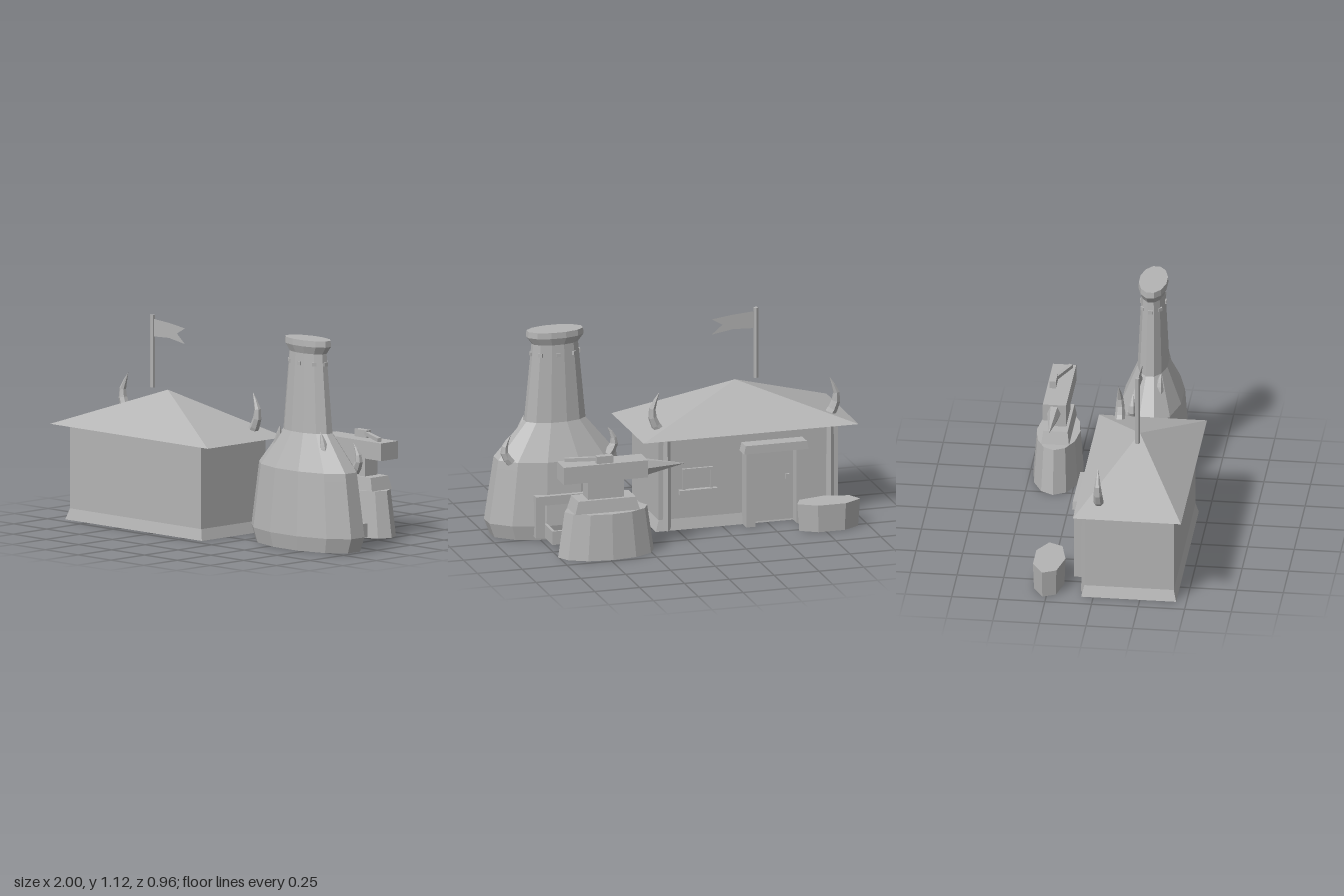
import * as THREE from 'three';

const stone = new THREE.MeshStandardMaterial({ color: 0xb4b4b4, flatShading: true, side: THREE.DoubleSide });
stone.name = 'plain grey';

function add(parent, name, geometry, x = 0, y = 0, z = 0) {
  const mesh = new THREE.Mesh(geometry, stone);
  mesh.name = name;
  mesh.position.set(x, y, z);
  parent.add(mesh);
  return mesh;
}

// box given by its limits
function block(parent, name, x0, x1, y0, y1, z0, z1) {
  return add(parent, name, new THREE.BoxGeometry(x1 - x0, y1 - y0, z1 - z0),
    (x0 + x1) / 2, (y0 + y1) / 2, (z0 + z1) / 2);
}

// block standing on y = 0 whose top has a different width and depth
function taper(geo, w0, d0, w1, d1, h) {
  const p = geo.attributes.position;
  for (let i = 0; i < p.count; i++) {
    const top = p.getY(i) > 0;
    p.setXYZ(i, p.getX(i) * (top ? w1 : w0), top ? h : 0, p.getZ(i) * (top ? d1 : d0));
  }
  return geo;
}
const taperBox = (...s) => taper(new THREE.BoxGeometry(1, 1, 1), ...s);

// curved spike: a tube whose rings shrink towards the tip
function horn(parent, name, points, radius) {
  const curve = new THREE.CatmullRomCurve3(points.map(p => new THREE.Vector3(...p)));
  const rings = 5, sides = 6;
  const geo = new THREE.TubeGeometry(curve, rings, radius, sides);
  const p = geo.attributes.position, v = new THREE.Vector3();
  for (let i = 0; i < p.count; i++) {
    const t = Math.floor(i / (sides + 1)) / rings;
    const c = curve.getPointAt(t);
    v.fromBufferAttribute(p, i).sub(c).multiplyScalar(1 - t * t * 0.98).add(c);
    p.setXYZ(i, v.x, v.y, v.z);
  }
  return add(parent, name, geo);
}

function buildHouse() {
  const g = new THREE.Group();
  g.name = 'house';
  block(g, 'walls', -0.9, 0.1, 0.06, 0.51, -0.05, 0.43);
  add(g, 'baseSkirt', taper(new THREE.CylinderGeometry(Math.SQRT1_2, Math.SQRT1_2, 1, 4, 1, true, Math.PI / 4),
    1.04, 0.51, 1, 0.48, 0.06), -0.4, 0, 0.19);
  const roof = new THREE.ConeGeometry(Math.SQRT1_2, 1, 4, 1, false, Math.PI / 4);
  roof.scale(1.2, 0.22, 0.58);
  add(g, 'roof', roof, -0.4, 0.62, 0.19);

  // roof horns, mirrored about the ridge centre
  for (const s of [-1, 1]) {
    horn(g, 'roofHorn', [
      [-0.4 + s * 0.465, 0.53, 0.025], [-0.4 + s * 0.5, 0.58, 0.025],
      [-0.4 + s * 0.515, 0.65, 0.023], [-0.4 + s * 0.475, 0.75, 0.02]], 0.028);
    const post = new THREE.CylinderGeometry(0.022, 0.026, 0.51, 6);
    add(g, 'cornerPost', post, -0.4 + s * 0.455, 0.255, -0.046);
  }

  // door with frame
  for (const x of [-0.695, -0.415]) block(g, 'doorJamb', x, x + 0.05, 0, 0.41, -0.13, -0.05);
  add(g, 'doorLintel', taperBox(0.36, 0.085, 0.34, 0.08, 0.045), -0.53, 0.41, -0.095);
  block(g, 'door', -0.65, -0.41, 0.01, 0.41, -0.068, -0.05);
  block(g, 'doorKnob', -0.62, -0.6, 0.235, 0.262, -0.08, -0.066);

  // window and sill
  block(g, 'windowPane', -0.185, -0.045, 0.235, 0.32, -0.056, -0.05);
  block(g, 'windowTop', -0.2, -0.03, 0.32, 0.335, -0.064, -0.05);
  for (const x of [-0.2, -0.045]) block(g, 'windowSide', x, x + 0.015, 0.22, 0.32, -0.064, -0.05);
  block(g, 'windowSill', -0.22, -0.01, 0.195, 0.22, -0.078, -0.05);

  // flag
  add(g, 'flagPole', new THREE.CylinderGeometry(0.013, 0.013, 0.39, 6), -0.517, 0.925, 0.19);
  const flag = new THREE.Shape([[-0.51, 1.1], [-0.51, 1.005], [-0.39, 1.01], [-0.27, 0.99],
    [-0.33, 1.04], [-0.27, 1.075], [-0.38, 1.09]].map(p => new THREE.Vector2(...p)));
  add(g, 'flag', new THREE.ShapeGeometry(flag), 0, 0, 0.19);
  return g;
}

function buildFurnace() {
  const g = new THREE.Group();
  g.name = 'furnace';
  const cx = 0.62, cz = 0.143;
  // oval chimney body
  const profile = [[0, 0], [0.35, 0], [0.38, 0.08], [0.335, 0.38], [0.328, 0.425], [0.165, 0.62],
    [0.125, 1.045], [0.155, 1.085], [0.152, 1.118], [0, 1.118]];
  const k = 1 / Math.cos(Math.PI / 12);
  const body = new THREE.LatheGeometry(profile.map(([r, y]) => new THREE.Vector2(r * k, y)), 12, Math.PI / 12);
  body.scale(1, 1, 0.485);
  add(g, 'chimney', body, cx, 0, cz);

  // studs round the neck
  for (let i = 0; i < 8; i++) {
    const a = i * Math.PI / 4;
    const stud = add(g, 'neckStud', new THREE.BoxGeometry(0.025, 0.02, 0.014),
      cx + Math.sin(a) * 0.132, 0.99, cz + Math.cos(a) * 0.064);
    stud.rotation.y = a;
  }
  // shoulder horns and neck spikes
  for (const s of [-1, 1]) {
    horn(g, 'shoulderHorn', [
      [cx + s * 0.27, 0.42, 0.06], [cx + s * 0.305, 0.47, 0.063],
      [cx + s * 0.3, 0.52, 0.064], [cx + s * 0.27, 0.57, 0.066]], 0.026);
    horn(g, 'neckSpike', [
      [cx + s * 0.18, 0.52, 0.195], [cx + s * 0.17, 0.57, 0.195], [cx + s * 0.155, 0.635, 0.2]], 0.024);
  }

  // furnace mouth at the back with an open ash tray
  for (const x of [0.455, 0.735]) block(g, 'mouthJamb', x, x + 0.05, 0.02, 0.25, -0.055, 0.02);
  block(g, 'mouthLintel', 0.455, 0.785, 0.2, 0.25, -0.055, 0.04);
  const tray = new THREE.Group();
  tray.name = 'ashTray';
  g.add(tray);
  block(tray, 'trayFloor', 0.505, 0.735, 0.02, 0.035, -0.185, -0.03);
  block(tray, 'trayFront', 0.5, 0.735, 0.02, 0.095, -0.19, -0.175);
  for (const x of [0.5, 0.72]) block(tray, 'traySide', x, x + 0.015, 0.02, 0.095, -0.175, -0.03);
  return g;
}

function buildAnvil() {
  const g = new THREE.Group();
  g.name = 'anvilOnStump';
  const cx = 0.487, cz = -0.35;
  const stump = new THREE.CylinderGeometry(0.23, 0.267, 0.25, 12);
  stump.scale(1, 1, 0.505);
  add(g, 'anvilStump', stump, cx, 0.125, cz);
  add(g, 'anvilFoot', taperBox(0.36, 0.15, 0.32, 0.13, 0.07), 0.5, 0.25, cz);
  block(g, 'anvilWaist', 0.4, 0.6, 0.32, 0.42, -0.395, -0.3);
  block(g, 'anvilTop', 0.27, 0.74, 0.42, 0.515, -0.41, -0.285);
  const point = new THREE.ConeGeometry(0.05, 0.23, 6);
  point.rotateZ(Math.PI / 2);
  point.scale(1, 1, 0.75);
  add(g, 'anvilPoint', point, 0.16, 0.462, cz);
  // hammer lying on the anvil
  block(g, 'hammerHead', 0.46, 0.55, 0.515, 0.555, -0.397, -0.362);
  const handle = add(g, 'hammerHandle', new THREE.BoxGeometry(0.19, 0.02, 0.022), 0.615, 0.533, -0.343);
  handle.rotation.set(0, -0.37, -0.06);
  return g;
}

export function createModel() {
  const model = new THREE.Group();
  model.name = 'smithy';
  model.add(buildHouse(), buildFurnace(), buildAnvil());
  // low seven-sided block by the door
  const seat = new THREE.CylinderGeometry(0.18, 0.168, 0.15, 7);
  seat.scale(1, 1, 0.485);
  add(model, 'doorStump', seat, -0.78, 0.075, -0.252);
  return model;
}
